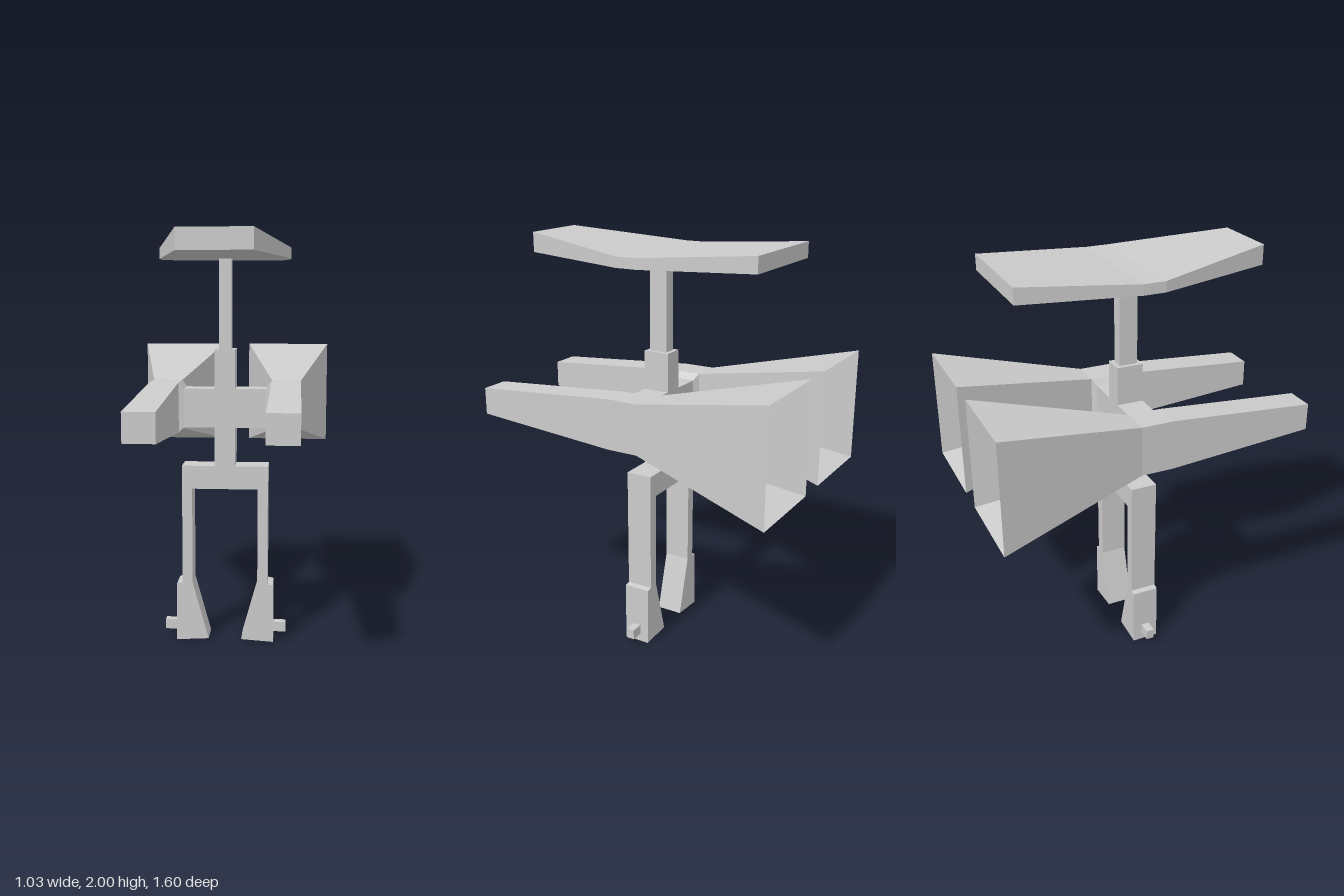
import * as THREE from 'three';

const material = new THREE.MeshStandardMaterial({ color: 0xcccccc, flatShading: true });

function part(name, geometry, x = 0, y = 0, z = 0) {
  const mesh = new THREE.Mesh(geometry, material);
  mesh.name = name;
  mesh.position.set(x, y, z);
  return mesh;
}

// Rectangular cross-sections: across z (corners in x, y) and across x (corners in y, z)
const sectionZ = (z, x0, x1, y0, y1) => [[x0, y0, z], [x1, y0, z], [x1, y1, z], [x0, y1, z]];
const sectionX = (x, y0, y1, z0, z1) => [[x, y0, z0], [x, y1, z0], [x, y1, z1], [x, y0, z1]];

// Joins four-cornered sections with flat quads and closes both ends
function loft(sections) {
  const pos = [];
  const quad = (a, b, c, d) => pos.push(...a, ...b, ...c, ...a, ...c, ...d);
  for (let s = 0; s < sections.length - 1; s++) {
    const a = sections[s], b = sections[s + 1];
    for (let i = 0; i < 4; i++) {
      const j = (i + 1) % 4;
      quad(a[i], a[j], b[j], b[i]);
    }
  }
  const first = sections[0], last = sections[sections.length - 1];
  quad(first[3], first[2], first[1], first[0]);
  quad(...last);
  const geometry = new THREE.BufferGeometry();
  geometry.setAttribute('position', new THREE.Float32BufferAttribute(pos, 3));
  geometry.computeVertexNormals();
  return geometry;
}

// Extrudes an outline in x, y, centred on z = 0
function plate(points, depth) {
  const shape = new THREE.Shape(points.map(([x, y]) => new THREE.Vector2(x, y)));
  return new THREE.ExtrudeGeometry(shape, { depth, bevelEnabled: false }).translate(0, 0, -depth / 2);
}

export function createModel() {
  const model = new THREE.Group();
  model.name = 'model';

  // Canopy: a slightly folded plate, narrower at both ends
  const canopy = [
    [-0.615, 0.265, 1.915, 1.99],
    [-0.06, 0.315, 1.895, 1.945],
    [0.045, 0.315, 1.895, 1.945],
    [0.615, 0.165, 1.905, 2.0],
  ];
  model.add(part('canopy', loft(canopy.map(([z, w, y0, y1]) => sectionZ(z, -w, w, y0, y1)))));
  model.add(part('canopyPost', new THREE.BoxGeometry(0.06, 0.46, 0.09), 0, 1.68, 0));

  // Frame: mast, cross arms and fork in one mirrored outline
  const half = [
    [0.05, 1.465], [0.05, 1.275], [0.2, 1.275], [0.2, 1.085], [0.05, 1.085],
    [0.05, 0.895], [0.212, 0.895], [0.212, 0.3], [0.162, 0.3], [0.162, 0.78],
  ];
  const mirrored = half.map(([x, y]) => [-x, y]).reverse();
  model.add(part('frame', plate([...half, ...mirrored], 0.13)));

  for (const side of [1, -1]) {
    const prefix = side > 0 ? 'left' : 'right';
    const span = (a, b) => (side > 0 ? [a, b] : [-b, -a]);

    // Foot with a small outer peg
    const foot = [[0.162, 0.3], [0.082, 0.01], [0.243, 0], [0.24, 0.295], [0.212, 0.3]];
    model.add(part(prefix + 'Foot', plate(foot.map(([x, y]) => [x * side, y]), 0.13)));
    model.add(part(prefix + 'Peg', new THREE.BoxGeometry(0.07, 0.05, 0.04), side * 0.27, 0.065, 0));

    // Flared joint between cross arm and horn
    const [fa, fb] = span(0.2, 0.225);
    const small = [1.085, 1.275, -0.065, 0.065], large = [1.06, 1.305, -0.085, 0.07];
    model.add(part(prefix + 'Joint', loft([
      sectionX(fa, ...(side > 0 ? small : large)),
      sectionX(fb, ...(side > 0 ? large : small)),
    ])));

    // Horn: recess floor, open rear rim, waist, then the tapering front
    const horn = [
      [-0.58, 0.12, 0.468, 0.955, 1.408],
      [-0.8, 0.072, 0.517, 0.907, 1.455],
      [-0.085, 0.225, 0.368, 1.06, 1.305],
      [0.07, 0.225, 0.368, 1.06, 1.305],
      [0.8, 0.225, 0.368, 1.115, 1.248],
    ];
    model.add(part(prefix + 'Horn', loft(horn.map(([z, a, b, y0, y1]) => sectionZ(z, ...span(a, b), y0, y1)))));
  }
  return model;
}
